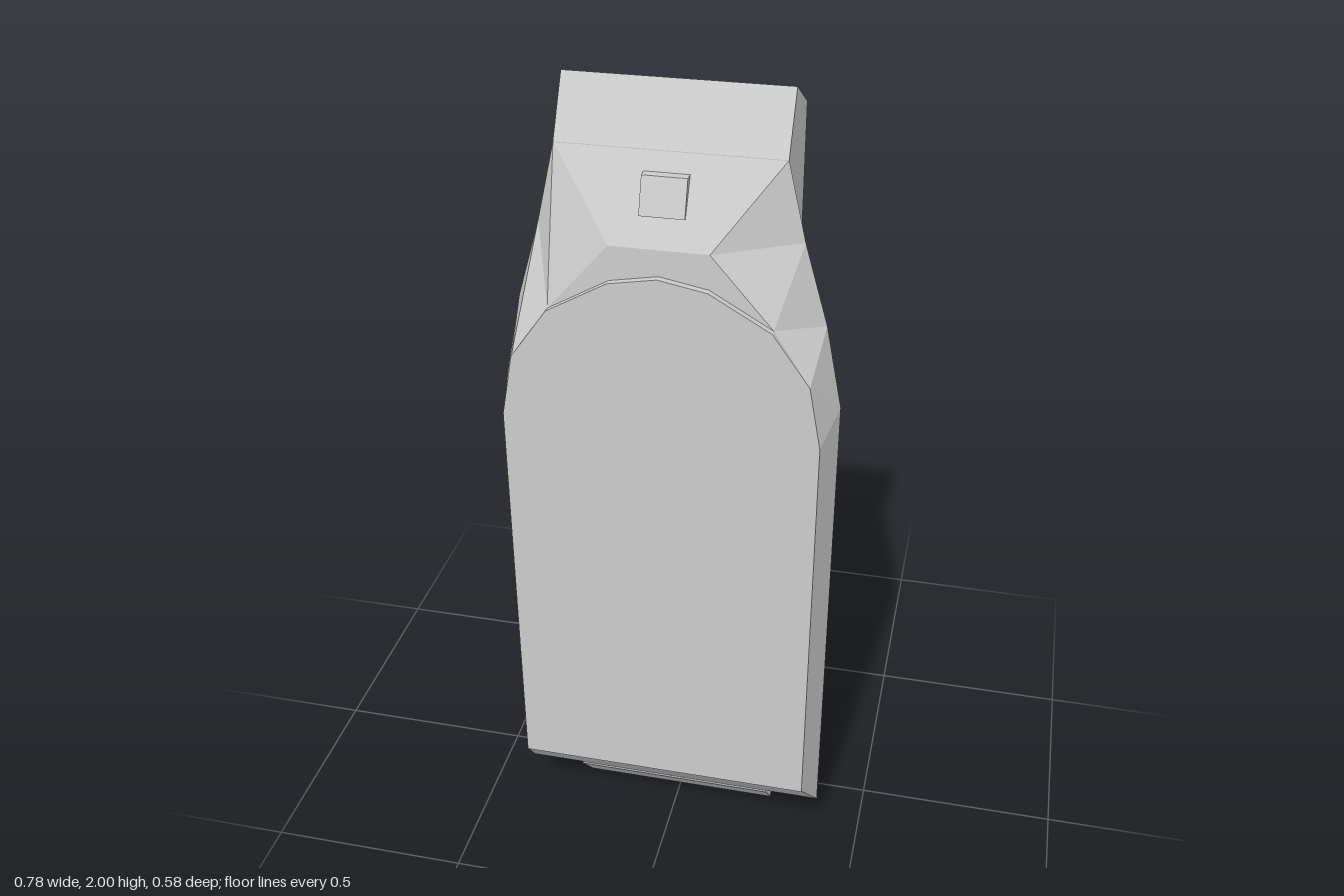
import * as THREE from 'three';
import { toCreasedNormals } from 'three/addons/utils/BufferGeometryUtils.js';

const flat = new THREE.MeshStandardMaterial({ color: 0xcccccc, flatShading: true });
const smooth = new THREE.MeshStandardMaterial({ color: 0xcccccc });

// Mirror a half outline across x = 0 into a closed ring
const mirrored = (half) => [...half, ...half.slice().reverse().map(([x, y, z]) => [-x, y, z])];

// Skin rings (counter-clockwise seen from the last one) and cap both ends
function loft(rings, startCentre, endCentre) {
  const pos = [];
  const tri = (...pts) => pts.forEach((p) => pos.push(...p));
  const n = rings[0].length;
  const last = rings[rings.length - 1];
  for (let i = 0; i < n; i++) {
    const j = (i + 1) % n;
    for (let r = 0; r + 1 < rings.length; r++) {
      const [a, b, c, d] = [rings[r][i], rings[r][j], rings[r + 1][j], rings[r + 1][i]];
      tri(a, b, c);
      tri(a, c, d);
    }
    tri(startCentre, rings[0][j], rings[0][i]);
    tri(endCentre, last[i], last[j]);
  }
  const geo = new THREE.BufferGeometry();
  geo.setAttribute('position', new THREE.Float32BufferAttribute(pos, 3));
  geo.computeVertexNormals();
  return geo;
}

// Extrude a [z, y] side profile along x
function sideExtrude(profile, x0, x1) {
  const shape = new THREE.Shape(profile.map(([z, y]) => new THREE.Vector2(z, y)));
  const geo = new THREE.ExtrudeGeometry(shape, { depth: x1 - x0, bevelEnabled: false });
  return geo.rotateY(-Math.PI / 2).translate(x1, 0, 0);
}

export function createModel() {
  const model = new THREE.Group();
  const add = (name, geo, mat = flat) => {
    const mesh = new THREE.Mesh(geo, mat);
    mesh.name = name;
    model.add(mesh);
    return mesh;
  };

  // Core slab with bevelled ends
  add('coreSlab', sideExtrude(
    [[0.09, 2], [-0.06, 1.92], [-0.06, 0.13], [0.08, 0], [0.168, 0.1], [0.168, 1.87]], -0.253, 0.253));

  // Wide front cover with chamfered sides and sloped shoulders
  const coverBack = [[0.39, 0.105], [0.39, 1.3], [0.35, 1.5], [0.295, 1.69], [0.253, 1.87]]
    .map(([x, y]) => [x, y, 0.167]);
  const coverFront = [[0.363, 0.24, 0.288], [0.363, 1.26, 0.288], [0.335, 1.41, 0.288],
    [0.25, 1.53, 0.274], [0.11, 1.69, 0.272]];
  add('frontCover', loft([mirrored(coverBack), mirrored(coverFront)], [0, 0.8, 0.167], [0, 0.8, 0.286]));

  // Arched front plate
  const plate = new THREE.Shape(mirrored([[0.363, 0.24], [0.363, 1.26], [0.335, 1.41], [0.25, 1.53],
    [0.11, 1.61], [0.001, 1.63]]).map(([x, y]) => new THREE.Vector2(x, y)));
  add('frontPlate', new THREE.ExtrudeGeometry(plate, { depth: 0.02, bevelEnabled: false }).translate(0, 0, 0.27));

  // Sight bump on the upper slope
  add('slopeBump', sideExtrude([[0.18, 1.83], [0.213, 1.83], [0.242, 1.75], [0.2, 1.74]], -0.05, 0.05));

  // Rear pod, its sides reaching forward around the slab
  const podRoot = [[0.13, 1.465, -0.05], [0.19, 1.39, -0.05], [0.24, 1.2, -0.05], [0.24, 1.06, 0.03],
    [0.24, 0.97, 0.03], [0.24, 0.78, 0], [0.24, 0.69, -0.03], [0.19, 0.63, -0.05], [0.08, 0.59, -0.05]];
  const podBase = [[0.14, 1.485, -0.1], [0.2, 1.41, -0.07], [0.255, 1.22, -0.05], [0.28, 1.06, 0.03],
    [0.285, 0.97, 0.03], [0.28, 0.78, 0], [0.27, 0.68, -0.03], [0.2, 0.61, -0.07], [0.08, 0.57, -0.07]];
  const podRim = [[0.135, 1.43], [0.2, 1.34], [0.28, 1.21], [0.335, 1.08], [0.347, 0.97], [0.33, 0.78],
    [0.31, 0.67], [0.22, 0.57], [0.09, 0.53]].map(([x, y]) => [x, y, -0.175]);
  const podBack = [[0.12, 1.35], [0.19, 1.3], [0.26, 1.2], [0.315, 1.08], [0.328, 0.97], [0.312, 0.78],
    [0.29, 0.68], [0.2, 0.59], [0.08, 0.555]].map(([x, y]) => [x, y, -0.2]);
  add('rearPod', toCreasedNormals(
    loft([podRoot, podBase, podRim, podBack].map(mirrored), [0, 1, -0.05], [0, 1, -0.2]), 0.5), smooth);

  // Round lid on the pod
  const lid = new THREE.CylinderGeometry(0.305, 0.31, 0.03, 14).rotateX(-Math.PI / 2);
  add('podLid', lid.translate(0, 1.03, -0.199));

  // Latch: an octagonal knob above a curved lever
  const knob = new THREE.CylinderGeometry(0.065, 0.065, 0.06, 8).rotateY(Math.PI / 8);
  add('latchKnob', knob.translate(-0.01, 1.15, -0.205));
  add('latchLever', sideExtrude(
    [[-0.2, 1.14], [-0.24, 1.13], [-0.27, 1.1], [-0.29, 1.04], [-0.255, 1.085], [-0.2, 1.11]], -0.15, 0.08));

  // Hexagonal side bolts and round rear tabs
  for (const [side, s] of [['left', 1], ['right', -1]]) {
    const bolt = new THREE.CylinderGeometry(0.055, 0.07, 0.04, 6).rotateZ(-s * Math.PI / 2);
    bolt.rotateX(Math.PI / 2);
    add(side + 'Bolt', bolt.translate(s * 0.267, 0.175, 0.022));
    const tab = new THREE.CylinderGeometry(0.068, 0.068, 0.025, 10).rotateZ(Math.PI / 2);
    add(side + 'RearTab', tab.translate(s * 0.235, 0.138, -0.024));
  }
  return model;
}
